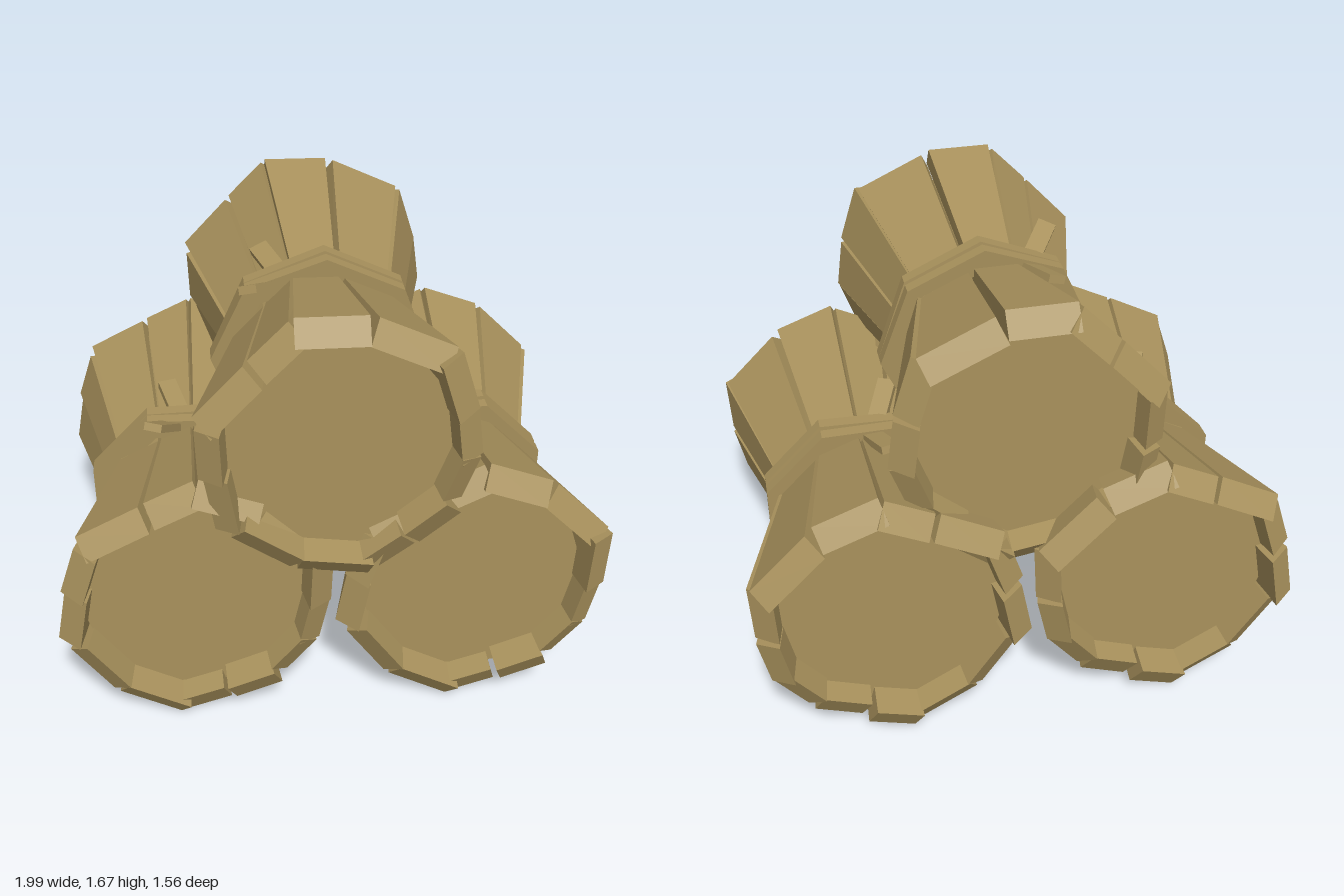
import * as THREE from 'three';

const straw = new THREE.MeshStandardMaterial({ color: 0xa8915c, flatShading: true });
straw.name = 'straw';

// Outer edge of each stalk at the flared end, clockwise: x1, y1, x2, y2, thickness
const STALKS = [
  [0.03, 0.53, 0.255, 0.445, 0.08], [0.28, 0.42, 0.48, 0.22, 0.08], [0.49, 0.21, 0.48, -0.01, 0.08],
  [0.48, -0.02, 0.44, -0.20, 0.08], [0.43, -0.21, 0.32, -0.34, 0.08], [0.30, -0.39, 0.13, -0.45, 0.1],
  [0.11, -0.47, -0.06, -0.52, 0.1], [-0.08, -0.51, -0.30, -0.39, 0.08],
  [-0.32, -0.37, -0.46, -0.17, 0.08], [-0.50, -0.13, -0.46, 0.08, 0.08],
  [-0.47, 0.10, -0.41, 0.28, 0.08], [-0.40, 0.32, -0.18, 0.43, 0.08], [-0.16, 0.44, 0.01, 0.52, 0.08],
];

// Joins four-cornered sections (counter-clockwise, ascending z) into a closed bar
function loft(sections) {
  const pos = [];
  const quad = (a, b, c, d) => [a, b, c, a, c, d].forEach((p) => pos.push(...p));
  for (let s = 0; s < sections.length - 1; s++) {
    for (let i = 0; i < 4; i++) {
      const j = (i + 1) % 4, lo = sections[s], hi = sections[s + 1];
      quad(lo[i], lo[j], hi[j], hi[i]);
    }
  }
  const first = sections[0], last = sections[sections.length - 1];
  quad(first[3], first[2], first[1], first[0]);
  quad(last[0], last[1], last[2], last[3]);
  const g = new THREE.BufferGeometry();
  g.setAttribute('position', new THREE.Float32BufferAttribute(pos, 3));
  g.computeVertexNormals();
  return g;
}

// Stalk: flared at both ends, pinched at the waist, with bevelled ends
function stalkGeometry([x1, y1, x2, y2, thickness], shift) {
  const len = Math.hypot(x2 - x1, y2 - y1);
  const nx = (y2 - y1) / len, ny = -(x2 - x1) / len; // inward normal
  const section = (scale, thick, zOut, zIn) => [
    [x1 * scale, y1 * scale, zOut + shift],
    [x1 * scale + nx * thick, y1 * scale + ny * thick, zIn + shift],
    [x2 * scale + nx * thick, y2 * scale + ny * thick, zIn + shift],
    [x2 * scale, y2 * scale, zOut + shift],
  ];
  const waist = thickness * 0.67;
  return loft([
    section(1, thickness, -0.68, -0.74), section(0.67, waist, -0.05, -0.05),
    section(0.67, waist, 0.05, 0.05), section(1, thickness, 0.68, 0.74),
  ]);
}

// Lathe with its axis along z
function latheZ(profile, sides) {
  const pts = profile.map(([r, z]) => new THREE.Vector2(r, z));
  return new THREE.LatheGeometry(pts, sides).rotateX(Math.PI / 2).rotateZ(Math.PI / sides);
}

function createBundle(name) {
  const bundle = new THREE.Group();
  bundle.name = name;
  const add = (geometry, part) => {
    const mesh = new THREE.Mesh(geometry, straw);
    mesh.name = part;
    bundle.add(mesh);
    return mesh;
  };

  // Core filling the inside, closed by flat recessed ends
  add(latheZ([[0, -0.64], [0.42, -0.64], [0.29, 0], [0.42, 0.64], [0, 0.64]], 10), 'core');

  STALKS.forEach((s, i) => add(stalkGeometry(s, -0.015 * Math.sin(i * 2.3)), 'stalk'));

  // Two binding bands that meet on one side and spread on the other
  for (const k of [-1, 1]) {
    const band = latheZ(
      [[0.33, -0.026], [0.41, -0.026], [0.41, 0.026], [0.33, 0.026], [0.33, -0.026]], 8);
    const p = band.attributes.position;
    for (let i = 0; i < p.count; i++) {
      p.setZ(i, p.getZ(i) + k * (0.02 + 0.03 * p.getX(i) + 0.035 * p.getY(i)));
    }
    band.computeVertexNormals();
    add(band, 'bindingBand');
  }

  // Loose ends of the binding
  const ends = [
    [[-0.03, 0.35, -0.04], [-0.08, 0.395, -0.21]],
    [[-0.06, 0.35, 0.04], [-0.13, 0.44, 0.19]],
  ];
  for (const [a, b] of ends) {
    const from = new THREE.Vector3(...a), to = new THREE.Vector3(...b);
    const end = add(new THREE.BoxGeometry(0.07, 0.03, from.distanceTo(to)), 'bindingEnd');
    end.position.copy(from).lerp(to, 0.5);
    end.lookAt(to);
  }
  return bundle;
}

export function createModel() {
  const model = new THREE.Group();
  model.name = 'strawBundles';
  const places = [
    ['rightBundle', -0.5, 0.52, -0.03, 0],
    ['leftBundle', 0.5, 0.52, -0.03, 0],
    ['topBundle', 0.005, 1.165, 0.025, 20],
  ];
  for (const [name, x, y, z, turn] of places) {
    const bundle = createBundle(name);
    bundle.position.set(x, y, z);
    bundle.rotation.z = THREE.MathUtils.degToRad(turn);
    model.add(bundle);
  }
  return model;
}
